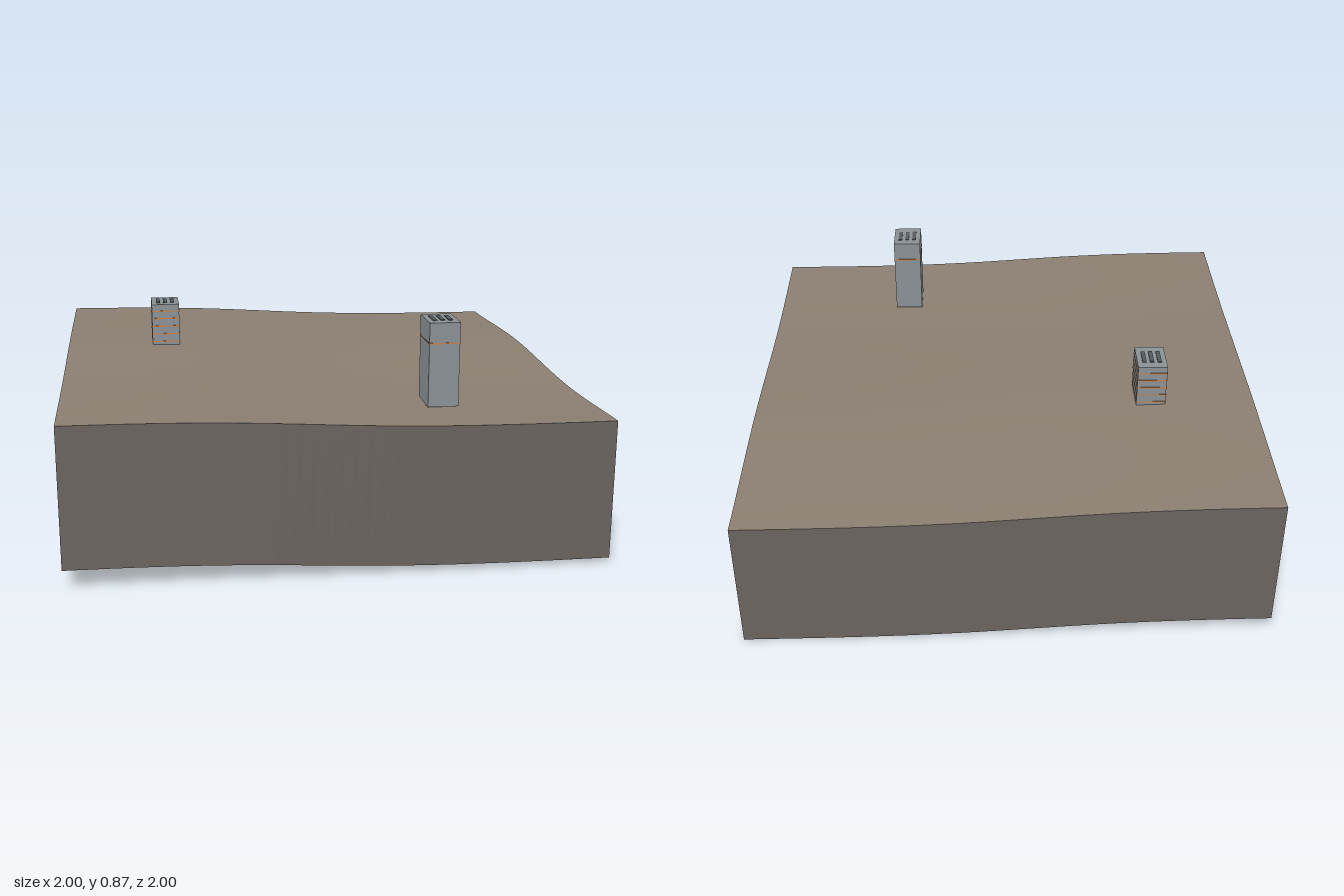
import * as THREE from 'three';

const THICK = 0.53;

// gentle slope along x with a slow ripple along z; this is the lower rim height
function rim(x, z) {
  const slope = 0.046 - 0.034 * Math.tanh(2 * (x + 0.1));
  const ripple = (0.0075 + 0.0035 * x) * Math.cos((2 * Math.PI * (z + 0.3)) / 1.5);
  return slope + ripple;
}

// bend a unit plane into a sheet: place(u, v) gives a point, u and v run -1..1
function sheet(name, material, nu, nv, place) {
  const geo = new THREE.PlaneGeometry(2, 2, nu, nv);
  const pos = geo.attributes.position;
  for (let i = 0; i < pos.count; i++) pos.setXYZ(i, ...place(pos.getX(i), pos.getY(i)));
  geo.computeVertexNormals();
  const mesh = new THREE.Mesh(geo, material);
  mesh.name = name;
  return mesh;
}

export function createModel() {
  const soil = new THREE.MeshStandardMaterial({ color: 0x8b7e71, side: THREE.DoubleSide });
  soil.name = 'soil';
  const earth = new THREE.MeshStandardMaterial({ color: 0x6b6460, side: THREE.DoubleSide });
  earth.name = 'earth wall';
  const concrete = new THREE.MeshStandardMaterial({ color: 0x8a9195 });
  concrete.name = 'concrete grey';
  const orange = new THREE.MeshStandardMaterial({ color: 0xc87f45 });
  orange.name = 'orange trim';
  const dark = new THREE.MeshStandardMaterial({ color: 0x55595c });
  dark.name = 'dark vent';

  const model = new THREE.Group();
  model.name = 'terrainBlock';

  // ground surface, open underneath
  model.add(sheet('ground', soil, 40, 40, (u, v) => [u, rim(u, -v) + THICK, -v]));

  // four skirt walls following the ground
  const edges = {
    frontWall: (u) => [u, 1],
    leftWall: (u) => [1, -u],
    backWall: (u) => [-u, -1],
    rightWall: (u) => [-1, u],
  };
  for (const [name, edge] of Object.entries(edges)) {
    model.add(sheet(name, earth, 40, 1, (u, v) => {
      const [x, z] = edge(u);
      return [x, rim(x, z) + (v > 0 ? THICK : 0), z];
    }));
  }

  // towers with trim bands and roof vents
  function tower(name, x, z, base, top, bands) {
    const group = new THREE.Group();
    group.name = name;
    group.position.set(x, 0, z);
    const box = (part, material, w, h, d, px, py) => {
      const mesh = new THREE.Mesh(new THREE.BoxGeometry(w, h, d), material);
      mesh.name = part;
      mesh.position.set(px, py, 0);
      group.add(mesh);
    };
    box('towerBody', concrete, 0.116, top - base, 0.157, 0, (top + base) / 2);
    for (const y of bands) box('trimBand', orange, 0.119, 0.005, 0.16, 0, y);
    for (const i of [-1, 0, 1]) box('roofVent', dark, 0.016, 0.006, 0.08, i * 0.03, top);
    model.add(group);
  }
  tower('tallTower', 0.415, 0.666, 0.552, 0.873, [0.795]);
  tower('shortTower', -0.586, -0.251, 0.598, 0.781, [0.62, 0.653, 0.687, 0.72, 0.752]);

  return model;
}
